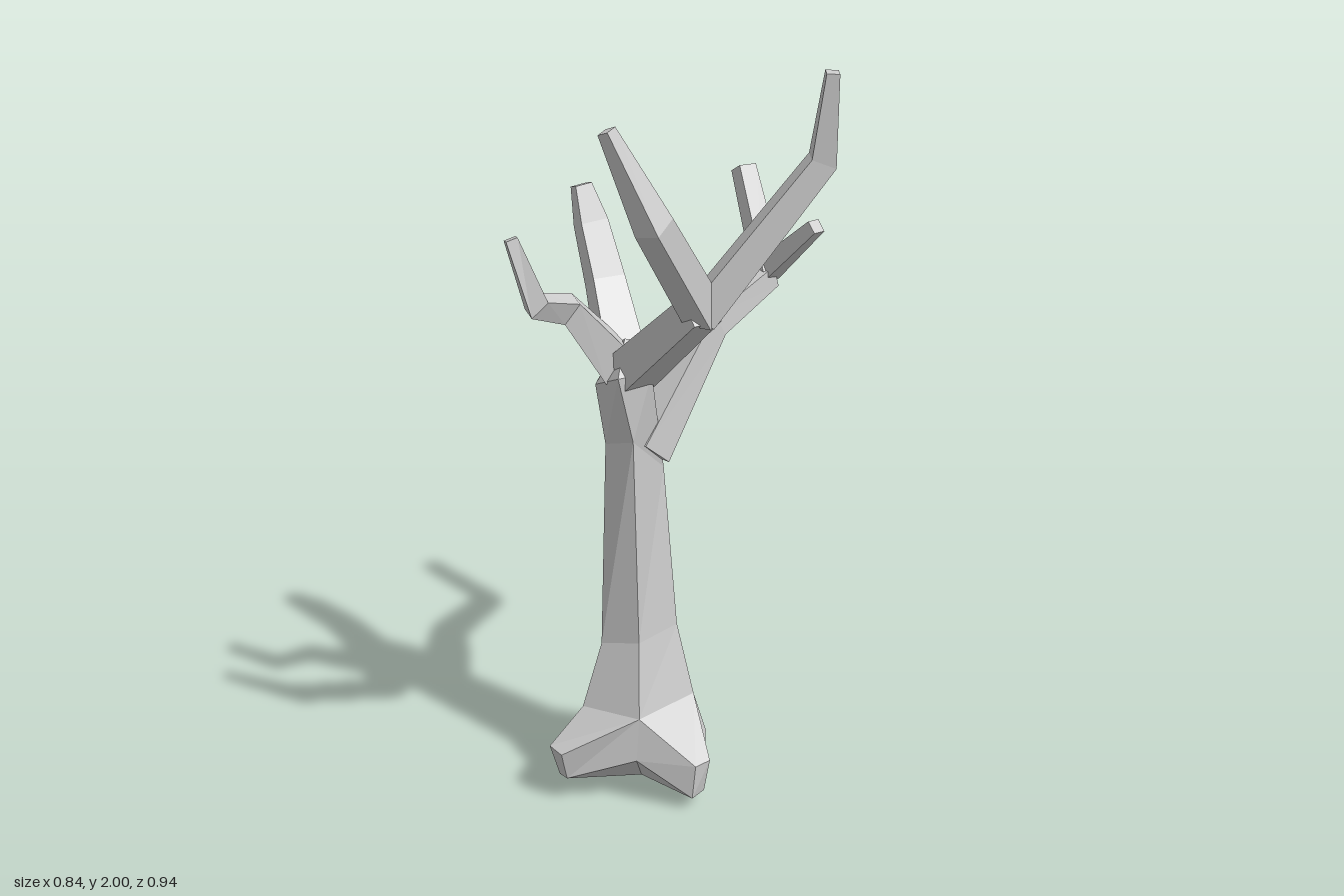
import * as THREE from 'three';

const material = new THREE.MeshStandardMaterial({ color: 0xcccccc, flatShading: true });

// Mesh from polygons (arrays of [x, y, z], counter-clockwise from outside)
function polyMesh(name, polygons) {
  const pos = [];
  for (const p of polygons)
    for (let i = 1; i < p.length - 1; i++) pos.push(...p[0], ...p[i], ...p[i + 1]);
  const geo = new THREE.BufferGeometry();
  geo.setAttribute('position', new THREE.Float32BufferAttribute(pos, 3));
  geo.computeVertexNormals();
  const mesh = new THREE.Mesh(geo, material);
  mesh.name = name;
  return mesh;
}

// Four-sided tapering limb through nodes [x, y, z, half width], mitred at bends
function limb(name, nodes) {
  const pts = nodes.map(n => new THREE.Vector3(n[0], n[1], n[2]));
  const dirs = pts.slice(1).map((p, i) => p.clone().sub(pts[i]).normalize());
  const side = new THREE.Vector3().crossVectors(dirs[0], new THREE.Vector3(0, 1, 0)).normalize();
  const rings = pts.map((p, i) => {
    const before = dirs[Math.max(i - 1, 0)], after = dirs[Math.min(i, dirs.length - 1)];
    const t = before.clone().add(after).normalize();
    side.addScaledVector(t, -side.dot(t)).normalize();
    const up = new THREE.Vector3().crossVectors(side, t);
    const w = nodes[i][3];
    return [[-1, -1], [1, -1], [1, 1], [-1, 1]].map(([a, b]) =>
      p.clone().addScaledVector(side, a * w).addScaledVector(up, b * w).toArray());
  });
  const polys = [rings[0], [...rings[rings.length - 1]].reverse()];
  for (let i = 0; i < rings.length - 1; i++)
    for (let k = 0; k < 4; k++) {
      const n = (k + 1) % 4;
      polys.push([rings[i][n], rings[i][k], rings[i + 1][k], rings[i + 1][n]]);
    }
  return polyMesh(name, polys);
}

export function createModel() {
  const tree = new THREE.Group();
  tree.name = 'bareTree';

  // Five-sided trunk cross-sections, from the ground up
  const rings = [
    [[-0.13, 0.14, 0.12], [0.085, 0.14, 0], [-0.04, 0.12, -0.23], [-0.2, 0.1, -0.17], [-0.28, 0.13, -0.05]],
    [[-0.12, 0.26, 0.11], [0.05, 0.26, 0], [-0.02, 0.26, -0.19], [-0.19, 0.26, -0.16], [-0.255, 0.26, 0.01]],
    [[-0.11, 0.46, 0.06], [0.01, 0.46, -0.03], [-0.05, 0.45, -0.14], [-0.16, 0.44, -0.13], [-0.2, 0.44, 0]],
    [[-0.12, 1.03, 0.058], [-0.02, 0.91, -0.055], [-0.05, 0.97, -0.115], [-0.13, 1.0, -0.11], [-0.178, 1.0, -0.02]],
    [[-0.16, 1.21, 0.08], [-0.07, 1.21, 0.05], [-0.07, 1.25, -0.07], [-0.13, 1.23, -0.12], [-0.2, 1.16, -0.03]],
  ];
  const trunk = [];
  for (let i = 1; i < rings.length - 1; i++)
    for (let k = 0; k < 5; k++) {
      const n = (k + 1) % 5;
      trunk.push([rings[i][k], rings[i][n], rings[i + 1][n], rings[i + 1][k]]);
    }
  const crown = [-0.125, 1.28, -0.02];
  for (let k = 0; k < 5; k++) trunk.push([rings[4][k], rings[4][(k + 1) % 5], crown]);
  tree.add(polyMesh('trunk', trunk));

  // Flared base: a root on three sides, plain slopes behind, pointed underside
  const apex = [-0.09, 0, -0.03];
  // Root tips by trunk side: lower left, lower right, upper right, upper left
  const tips = {
    0: [[0.01, 0.04, 0.175], [0.05, 0.04, 0.14], [0.062, 0.14, 0.155], [0.018, 0.14, 0.18]],
    1: [[0.05, 0.08, -0.24], [0.01, 0.08, -0.26], [0.025, 0.15, -0.29], [0.055, 0.15, -0.27]],
    4: [[-0.325, 0.07, 0.03], [-0.31, 0.075, 0.065], [-0.325, 0.155, 0.075], [-0.35, 0.16, 0.03]],
  };
  for (let k = 0; k < 5; k++) {
    const n = (k + 1) % 5;
    const [a0, b0, a, b] = [rings[0][k], rings[0][n], rings[1][k], rings[1][n]];
    if (tips[k]) {
      const [la, lb, tb, ta] = tips[k];
      tree.add(polyMesh('root', [
        [ta, tb, b, a], [la, lb, tb, ta], [a0, la, ta, a], [lb, b0, b, tb],
        [apex, la, a0], [apex, lb, la], [apex, b0, lb],
      ]));
    } else {
      tree.add(polyMesh('rootFlare', [[a0, b0, b, a], [apex, b0, a0]]));
    }
  }

  // Low side branch with its two twigs
  tree.add(limb('lowBranch', [[-0.075, 0.97, -0.04, 0.052], [0.125, 1.26, -0.165, 0.037], [0.315, 1.335, -0.31, 0.03]]));
  tree.add(limb('lowBackTwig', [[0.315, 1.335, -0.3, 0.031], [0.275, 1.6, -0.435, 0.025]]));
  tree.add(limb('lowFrontTwig', [[0.31, 1.345, -0.31, 0.03], [0.4, 1.505, -0.15, 0.018]]));

  // Tall front branch, forking into two long boughs
  tree.add(limb('frontBranch', [[-0.115, 1.2, 0.01, 0.05], [0.005, 1.445, 0.285, 0.039]]));
  tree.add(limb('frontRightBough', [[0.01, 1.43, 0.28, 0.038], [-0.135, 1.685, 0.43, 0.033], [-0.235, 1.9, 0.415, 0.015]]));
  tree.add(limb('frontLeftBough', [[0, 1.43, 0.285, 0.038], [0.275, 1.79, 0.32, 0.03], [0.283, 1.995, 0.35, 0.015]]));

  // Short side branch with an upturned end
  tree.add(limb('sideBranch', [[-0.14, 1.21, -0.02, 0.05], [-0.265, 1.365, -0.025, 0.032], [-0.35, 1.395, 0.03, 0.028], [-0.405, 1.56, 0.01, 0.015]]));

  // Back branch
  tree.add(limb('backBranch', [[-0.125, 1.2, -0.05, 0.052], [-0.145, 1.38, -0.19, 0.042], [-0.17, 1.52, -0.25, 0.036], [-0.19, 1.615, -0.27, 0.022]]));

  return tree;
}
